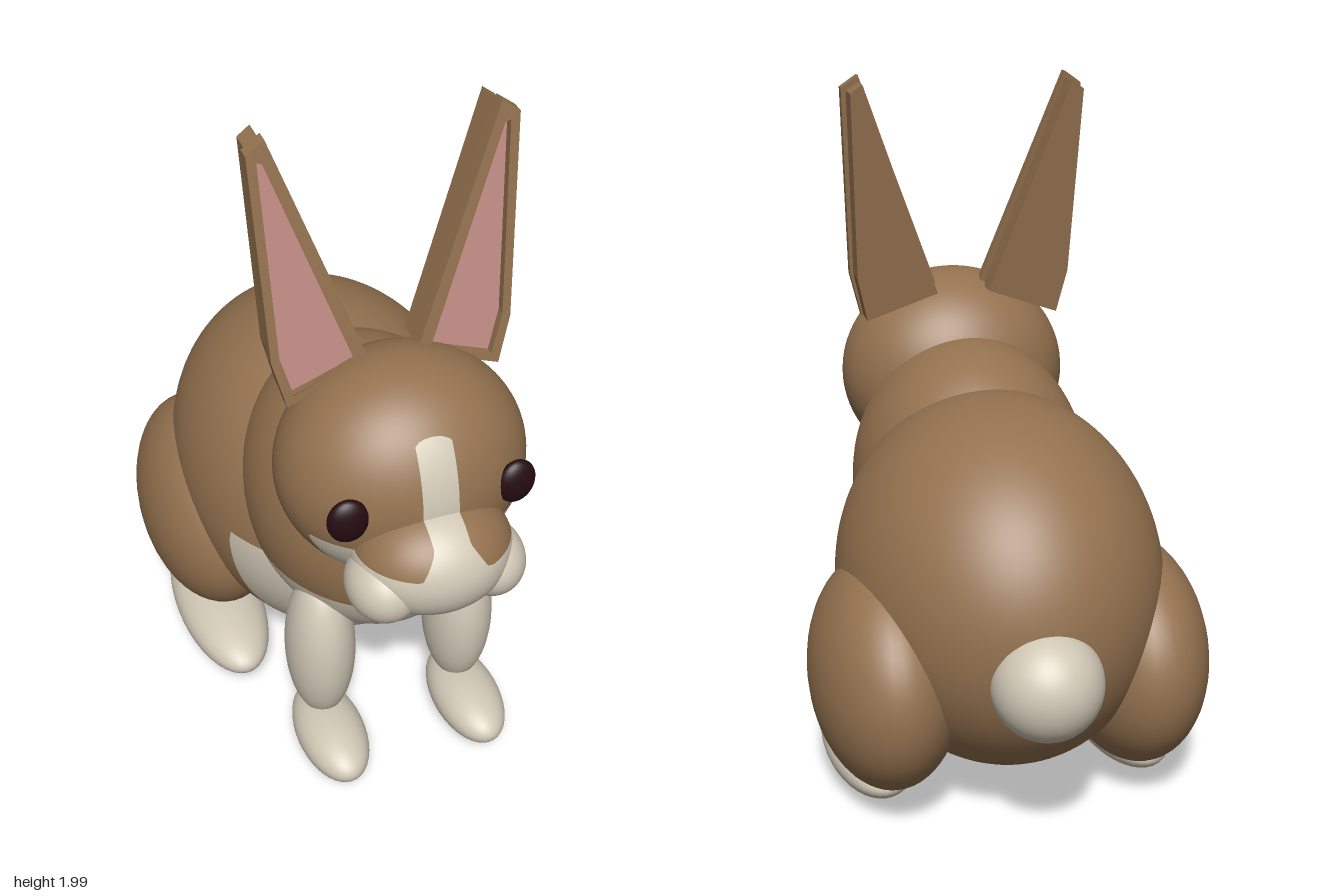
import * as THREE from 'three';

const mat = (name, color) => {
  const m = new THREE.MeshStandardMaterial({ color });
  m.name = name;
  return m;
};

// Splits a geometry along rule(p) = 0: group 0 where negative, group 1 where positive
function splitByRule(geometry, rule) {
  const g = geometry.toNonIndexed();
  const { position, normal } = g.attributes;
  const sides = [{ p: [], n: [] }, { p: [], n: [] }];
  for (let i = 0; i < position.count; i += 3) {
    const tri = [0, 1, 2].map((k) => {
      const p = new THREE.Vector3().fromBufferAttribute(position, i + k);
      return { p, n: new THREE.Vector3().fromBufferAttribute(normal, i + k), f: rule(p) };
    });
    sides.forEach((side, s) => {
      const sign = s ? 1 : -1;
      const poly = [];
      tri.forEach((a, k) => {
        const b = tri[(k + 1) % 3];
        if (a.f * sign >= 0) poly.push(a);
        if (a.f * b.f < 0) {
          const t = a.f / (a.f - b.f);
          poly.push({ p: a.p.clone().lerp(b.p, t), n: a.n.clone().lerp(b.n, t).normalize() });
        }
      });
      for (let k = 1; k < poly.length - 1; k++) {
        for (const v of [poly[0], poly[k], poly[k + 1]]) {
          side.p.push(...v.p.toArray());
          side.n.push(...v.n.toArray());
        }
      }
    });
  }
  const out = new THREE.BufferGeometry();
  out.setAttribute('position', new THREE.Float32BufferAttribute(sides[0].p.concat(sides[1].p), 3));
  out.setAttribute('normal', new THREE.Float32BufferAttribute(sides[0].n.concat(sides[1].n), 3));
  const first = sides[0].p.length / 3;
  out.addGroup(0, first, 0);
  out.addGroup(first, sides[1].p.length / 3, 1);
  return out;
}

export function createModel() {
  const model = new THREE.Group();
  model.name = 'rabbit';
  const brown = mat('brown fur', 0x94724f);
  const cream = mat('cream fur', 0xd0c7b5);
  const pink = mat('inner ear pink', 0xc48d87);
  const dark = mat('dark eye', 0x260d12);

  const add = (name, geometry, material, parent = model) => {
    const mesh = new THREE.Mesh(geometry, material);
    mesh.name = name;
    parent.add(mesh);
    return mesh;
  };
  const ellipsoid = (c, r, detail = 40) =>
    new THREE.SphereGeometry(1, detail, Math.round(detail * 0.7)).scale(...r).translate(...c);
  const patched = (name, c, r, rule) =>
    add(name, splitByRule(ellipsoid(c, r, 72), rule), [brown, cream]);

  // Cream bib under the chest, cream muzzle and blaze on the face
  const bib = (p) => Math.min(p.z - 0.135, 0.63 - p.y);
  const mask = (p) => {
    const muzzle = Math.min(0.972 - p.y, p.z - 0.58);
    const flare = 0.05 * Math.max(0, 1 - Math.abs(p.y - 0.96) / 0.08);
    const blaze = Math.min(0.05 + flare - Math.abs(p.x), 1.285 - p.y - 4 * p.x * p.x, p.z - 0.5);
    return Math.max(muzzle, blaze);
  };

  // Body, chest, head
  patched('body', [0, 0.605, -0.17], [0.47, 0.535, 0.6], bib);
  patched('chest', [0, 0.78, 0.2], [0.36, 0.44, 0.43], bib);
  patched('head', [0, 1.06, 0.46], [0.35, 0.325, 0.3], mask);
  patched('muzzle', [0, 0.93, 0.7], [0.22, 0.165, 0.188], mask);
  add('tail', ellipsoid([0, 0.522, -0.735], [0.152, 0.152, 0.152]), cream);

  // Ear outline and inner opening, drawn for the left side
  const rimOutline = [[0.065, 1.345], [0.3, 1.265], [0.335, 1.4], [0.36, 1.965], [0.31, 2.0]];
  const opening = [[0.105, 1.355], [0.28, 1.295], [0.312, 1.41], [0.334, 1.945], [0.318, 1.94]];
  const backOutline = [[0.08, 1.345], [0.295, 1.268], [0.325, 1.4], [0.345, 1.955], [0.31, 1.98]];
  const shapeOf = (pts, s) => new THREE.Shape(pts.map(([x, y]) => new THREE.Vector2(x * s, y)));
  // Ears lean back: depth shifts with height
  const lean = (g, z) => {
    const p = g.attributes.position;
    for (let i = 0; i < p.count; i++) p.setZ(i, p.getZ(i) + z - (p.getY(i) - 1.265) * 0.135);
    g.computeVertexNormals();
    return g;
  };
  const slab = (shape, depth, z) =>
    lean(new THREE.ExtrudeGeometry(shape, { depth, bevelEnabled: false }), z);

  for (const s of [1, -1]) {
    const side = s > 0 ? 'left' : 'right';
    const pair = (name, [x, y, z], r, material) =>
      add(`${side} ${name}`, ellipsoid([s * x, y, z], r), material);

    pair('cheek', [0.15, 0.88, 0.73], [0.1, 0.1, 0.12], cream);
    pair('haunch', [0.36, 0.4, -0.3], [0.216, 0.33, 0.37], brown);
    pair('hind foot', [0.385, 0.1, -0.13], [0.136, 0.092, 0.335], cream);
    pair('front leg', [0.218, 0.37, 0.413], [0.102, 0.268, 0.126], cream);
    pair('front foot', [0.22, 0.086, 0.507], [0.102, 0.079, 0.196], cream);

    const eye = add(`${side} eye`, ellipsoid([0, 0, 0], [0.056, 0.067, 0.03], 24), dark);
    eye.position.set(s * 0.235, 1.09, 0.698);
    eye.rotation.y = s * 0.1;

    // Ear: thick back, raised rim, pink lining
    const ear = new THREE.Group();
    ear.name = `${side} ear`;
    model.add(ear);
    const rim = shapeOf(rimOutline, s);
    rim.holes.push(shapeOf(opening, s));
    add('ear back', slab(shapeOf(backOutline, s), 0.095, 0.288), brown, ear);
    add('ear rim', slab(rim, 0.038, 0.376), brown, ear);
    add('ear lining', slab(shapeOf(opening, s), 0.008, 0.382), pink, ear);
  }
  return model;
}
